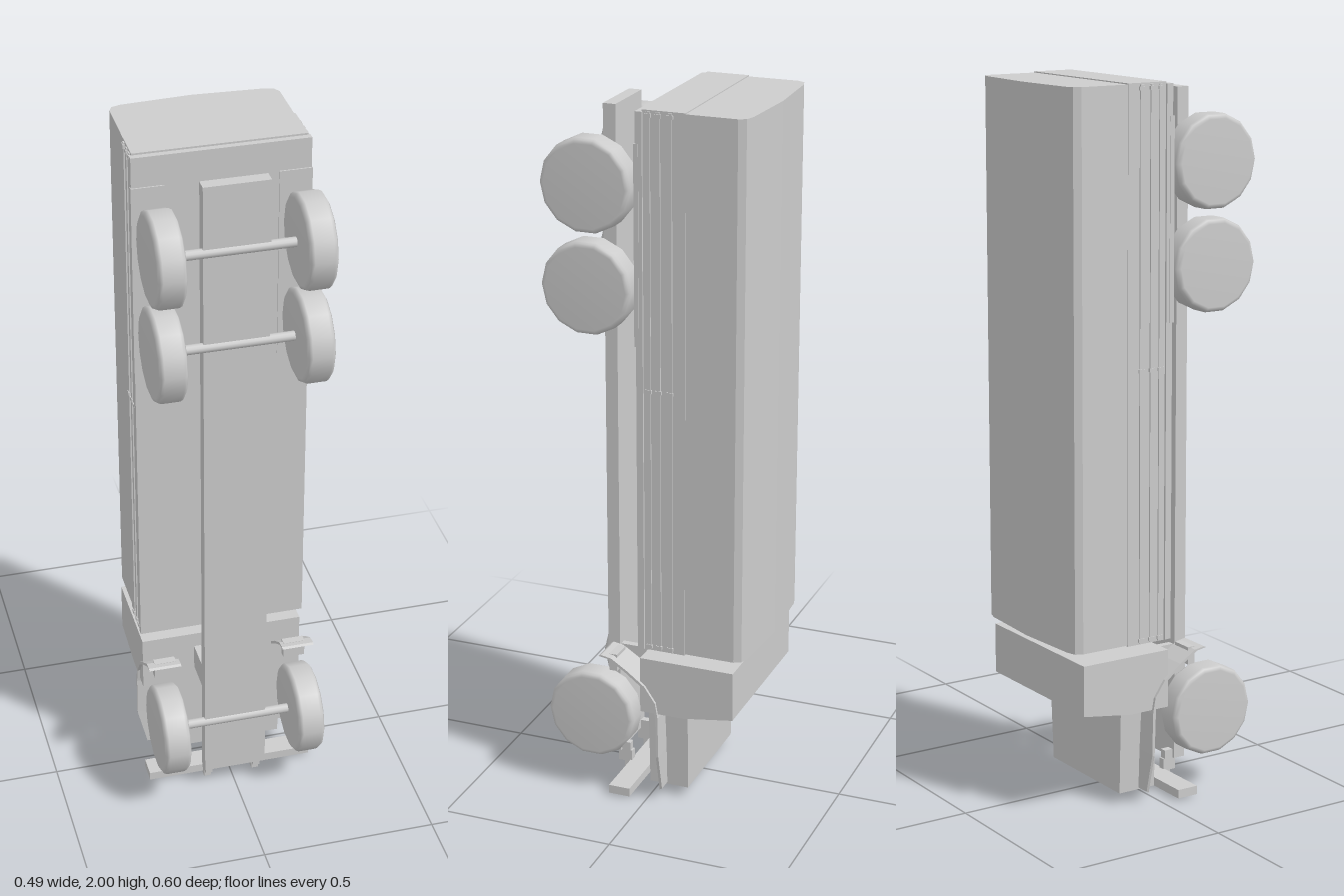
import * as THREE from 'three';

const grey = new THREE.MeshStandardMaterial({ color: 0xcccccc });
grey.name = 'plain grey';

export function createModel() {
  const truck = new THREE.Group();
  truck.name = 'truck';

  function add(name, geometry) {
    const mesh = new THREE.Mesh(geometry, grey);
    mesh.name = name;
    truck.add(mesh);
    return mesh;
  }
  // Box given by its limits on each axis
  function box(name, x0, x1, y0, y1, z0, z1) {
    const g = new THREE.BoxGeometry(x1 - x0, y1 - y0, z1 - z0);
    g.translate((x0 + x1) / 2, (y0 + y1) / 2, (z0 + z1) / 2);
    return add(name, g);
  }
  // Side profile of [z, y] points extruded across x
  function sideProfile(points, x0, x1) {
    const shape = new THREE.Shape(points.map(([z, y]) => new THREE.Vector2(z, y)));
    const g = new THREE.ExtrudeGeometry(shape, { depth: x1 - x0, bevelEnabled: false });
    g.rotateY(-Math.PI / 2);
    g.translate(x1, 0, 0);
    return g;
  }

  // Chassis, bumper and cab supports (nose points down, roof towards -z)
  box('chassis', -0.09, 0.09, 0.06, 1.97, 0.136, 0.172);
  box('bumper', -0.242, 0.242, 0.005, 0.03, 0.047, 0.11);
  for (const s of [-1, 1]) {
    const x = s * 0.072;
    box('bumperBracketFront', x - 0.01, x + 0.01, 0, 0.06, 0.105, 0.128);
    box('bumperBracketRear', x - 0.01, x + 0.01, 0.025, 0.085, 0.11, 0.146);
    box('cabSupport', x - 0.01, x + 0.01, 0.325, 0.4, 0.01, 0.14);
  }

  // Wheels and axles
  const r = 0.13, w = 0.039;
  const tyre = [[0, -w], [0.116, -w], [r - 0.004, -w + 0.005], [r, -w + 0.013],
    [r, w - 0.013], [r - 0.004, w - 0.005], [0.116, w], [0, w]]
    .map(([a, b]) => new THREE.Vector2(a, b));
  const wheelGeo = new THREE.LatheGeometry(tyre, 14);
  wheelGeo.rotateZ(Math.PI / 2);
  const axleGeo = new THREE.CylinderGeometry(0.0135, 0.0135, 0.34, 12);
  axleGeo.rotateZ(Math.PI / 2);
  for (const y of [0.24, 1.5, 1.78]) {
    add('axle', axleGeo).position.set(0, y, 0.166);
    for (const s of [-1, 1]) add('wheel', wheelGeo).position.set(s * 0.197, y, 0.167);
  }

  // Cab and hood
  add('cab', sideProfile([[0.015, 0.445], [0.015, 0.28], [-0.11, 0.28],
    [-0.26, 0.302], [-0.26, 0.445]], -0.235, 0.235));
  const hood = sideProfile([[0.01, 0.03], [-0.105, 0.03], [-0.108, 0.285], [0.01, 0.285]], -0.185, 0.185);
  const hp = hood.attributes.position;
  for (let i = 0; i < hp.count; i++) if (hp.getY(i) < 0.1) hp.setX(i, hp.getX(i) * 0.94);
  hood.computeVertexNormals();
  add('hood', hood);

  // Curved front fenders that narrow towards the nose
  const path = [[-0.042, 0.035], [-0.042, 0.15], [-0.04, 0.27], [-0.032, 0.315],
    [0, 0.362], [0.05, 0.4], [0.1, 0.432], [0.13, 0.437]];
  const inner = path.map(([z, y]) => [z + 0.007, y - 0.004]).reverse();
  for (const s of [-1, 1]) {
    const g = sideProfile([...path, ...inner], s > 0 ? 0.15 : -0.243, s > 0 ? 0.243 : -0.15);
    const p = g.attributes.position;
    for (let i = 0; i < p.count; i++) {
      if (p.getY(i) < 0.1 && Math.abs(p.getX(i)) > 0.2) p.setX(i, s * 0.215);
    }
    g.computeVertexNormals();
    add('frontFender', g);
    // Step hung under the cab door
    const [a, b] = s > 0 ? [0.16, 0.222] : [-0.222, -0.16];
    box('step', a, b, 0.385, 0.435, 0.09, 0.113);
  }

  // Cargo bed: floor, boards and rear wheel guards
  box('bedFloor', -0.24, 0.24, 0.478, 1.995, 0, 0.019);
  box('bedBoards', -0.234, 0.234, 0.476, 2, -0.118, 0.002);
  for (const s of [-1, 1]) {
    const [a, b] = s > 0 ? [0.153, 0.242] : [-0.242, -0.153];
    box('rearGuard', a, b, 1.36, 1.91, 0.01, 0.023);
    for (const z of [-0.015, -0.043, -0.076]) {
      box('sideRail', s * 0.235 - 0.003, s * 0.235 + 0.003, 0.478, 1.996, z - 0.006, z + 0.006);
      for (const y of [0.488, 1.237, 1.986])
        box('latch', s * 0.236 - 0.004, s * 0.236 + 0.004, y - 0.005, y + 0.005, z - 0.009, z + 0.009);
    }
  }

  // Canvas cover with a shallow ridged roof
  const half = [[0.232, 0.115], [0.232, 0.26], [0.222, 0.28], [0.195, 0.288]];
  const section = [...half, [0, 0.299], ...half.map(([x, h]) => [-x, h]).reverse()];
  const cover = new THREE.ExtrudeGeometry(
    new THREE.Shape(section.map(([x, h]) => new THREE.Vector2(x, h))),
    { depth: 1.518, bevelEnabled: false });
  cover.rotateX(-Math.PI / 2);
  cover.translate(0, 0.479, 0);
  add('canvasCover', cover);

  return truck;
}
